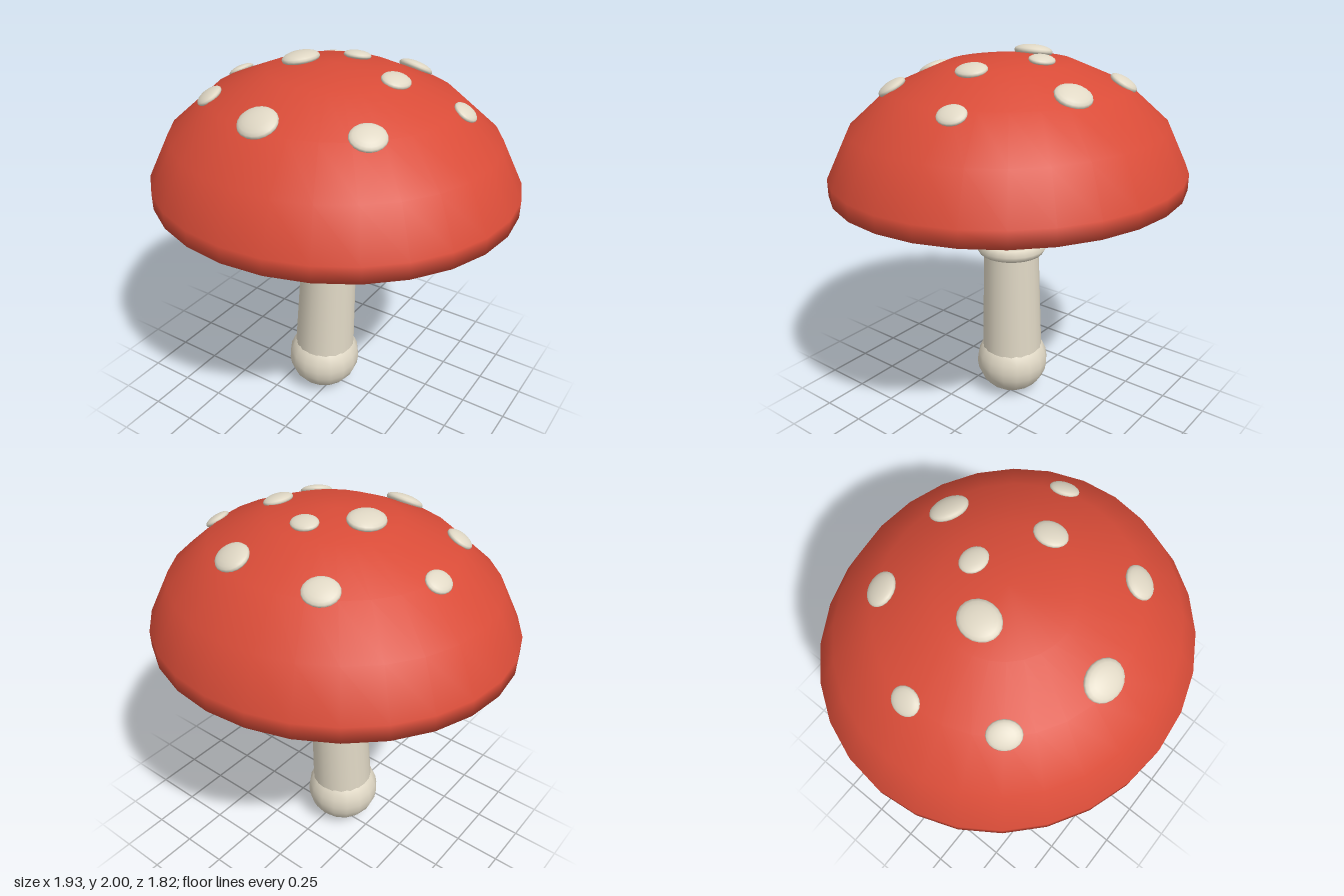
import * as THREE from 'three';
import { mergeVertices } from 'three/addons/utils/BufferGeometryUtils.js';

const red = new THREE.MeshStandardMaterial({ color: 0xd94c38 });
red.name = 'cap red';
const cream = new THREE.MeshStandardMaterial({ color: 0xe0d8c5 });
cream.name = 'cream';

// Cap ellipsoid: centre height, radii and the level where it is cut flat
const CAP = { y: 1.278, rx: 0.98, ry: 0.702, rz: 0.922, cut: 1.315 };

// The stem leans slightly: centre line position at a given height
const stemX = (y) => -0.059 + 0.039 * y;
const stemZ = (y) => 0.03 - 0.0205 * y;

function part(name, geometry, material, x = 0, y = 0, z = 0) {
  const mesh = new THREE.Mesh(geometry, material);
  mesh.name = name;
  mesh.position.set(x, y, z);
  return mesh;
}

// Dome with its lower half pressed flat; dome is red, underside cream
function makeCap() {
  const around = 28, rows = 9;
  let geo = new THREE.SphereGeometry(1, around, rows);
  geo.deleteAttribute('uv');
  geo.deleteAttribute('normal');
  geo.scale(CAP.rx, CAP.ry, CAP.rz).translate(0, CAP.y, 0);
  const p = geo.attributes.position;
  for (let i = 0; i < p.count; i++) p.setY(i, Math.max(p.getY(i), CAP.cut));
  geo = mergeVertices(geo);
  geo.computeVertexNormals();
  const domeCount = (around + 4 * around * 2) * 3;
  geo.clearGroups();
  geo.addGroup(0, domeCount, 0);
  geo.addGroup(domeCount, geo.index.count - domeCount, 1);
  return part('cap', geo, [red, cream]);
}

// Flattened oval lying on the cap surface at (x, z)
function makeSpot(x, z, r) {
  const h = Math.sqrt(1 - (x / CAP.rx) ** 2 - (z / CAP.rz) ** 2);
  const normal = new THREE.Vector3(x / CAP.rx ** 2, h / CAP.ry, z / CAP.rz ** 2).normalize();
  const side = new THREE.Vector3(normal.z, 0, -normal.x).normalize();
  const down = new THREE.Vector3().crossVectors(side, normal);
  const spot = part('spot', new THREE.SphereGeometry(r, 20, 10), cream, x, CAP.y + CAP.ry * h, z);
  spot.scale.set(1, 0.32, 0.87);
  spot.quaternion.setFromRotationMatrix(new THREE.Matrix4().makeBasis(side, normal, down));
  return spot;
}

// Tapered leaning stem, from inside the bulb to inside the cap
function makeStem() {
  const y0 = 0.19, y1 = 1.36;
  const geo = new THREE.CylinderGeometry(0.137, 0.174, y1 - y0, 20);
  geo.translate(0, (y0 + y1) / 2, 0);
  const p = geo.attributes.position;
  for (let i = 0; i < p.count; i++) {
    const y = p.getY(i);
    p.setX(i, p.getX(i) + stemX(y));
    p.setZ(i, p.getZ(i) + stemZ(y));
  }
  return part('stem', geo, cream);
}

export function createModel() {
  const model = new THREE.Group();
  model.name = 'mushroom';
  model.add(makeCap(), makeStem());

  // Round bulb at the foot
  const bulb = part('bulb', new THREE.SphereGeometry(0.206, 16, 12), cream, stemX(0.19), 0.193, stemZ(0.19));
  bulb.scale.y = 0.935;
  model.add(bulb);

  // Collar around the stem
  const collar = part('collar', new THREE.TorusGeometry(0.16, 0.038, 6, 24), cream, stemX(0.93) - 0.003, 0.932, stemZ(0.93) + 0.003);
  collar.rotation.x = Math.PI / 2;
  model.add(collar);

  // Spots: x, z, radius
  const spots = [
    [-0.31, -0.475, 0.088], [0.186, -0.5, 0.098], [0.01, -0.2, 0.073],
    [0.63, -0.165, 0.073], [0.33, -0.025, 0.083], [-0.195, 0, 0.105],
    [-0.63, -0.055, 0.073], [-0.485, 0.365, 0.08], [0.437, 0.4, 0.088],
    [-0.04, 0.55, 0.105],
  ];
  for (const s of spots) model.add(makeSpot(...s));
  return model;
}
